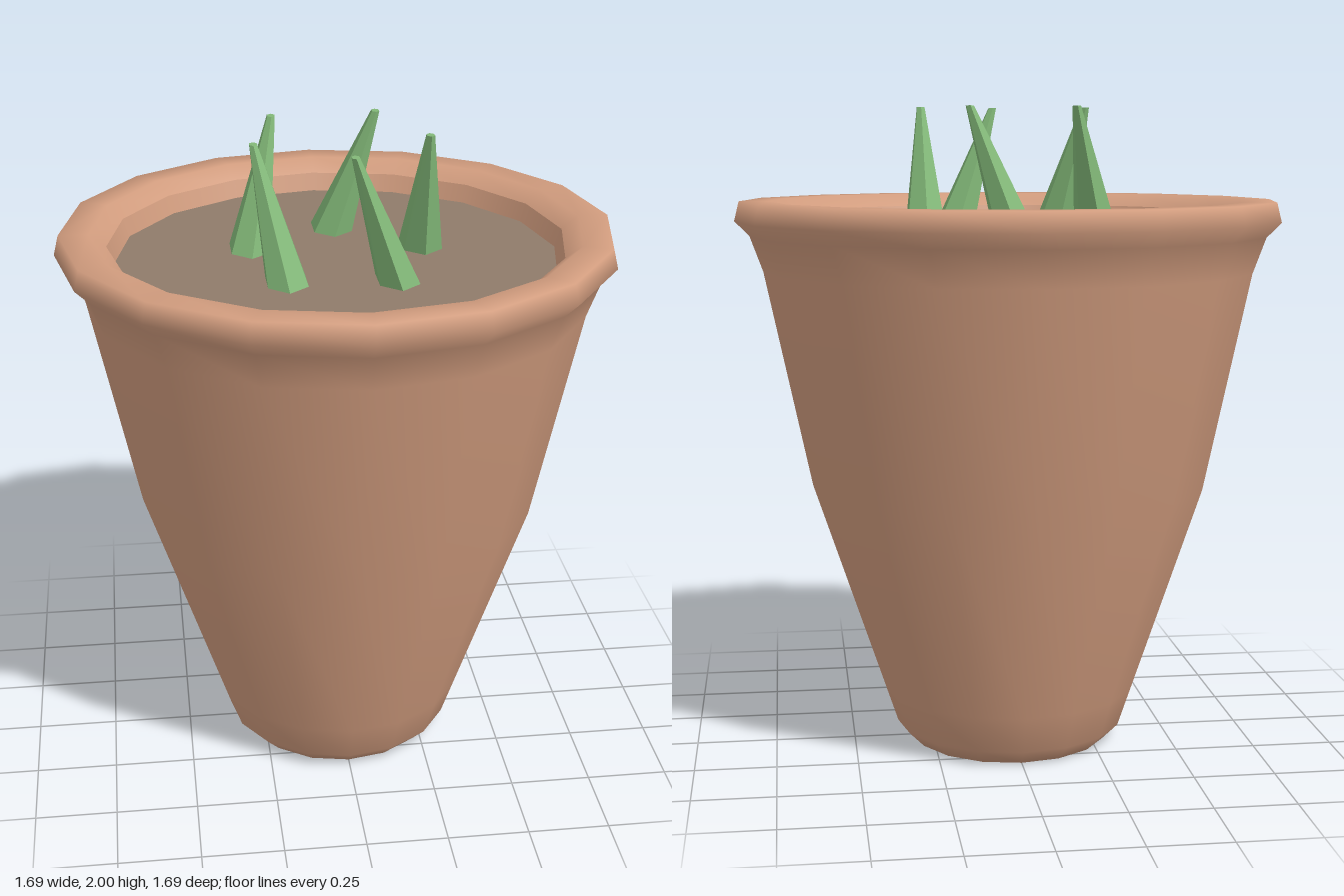
import * as THREE from 'three';

const SIDES = 16;
const SOIL_Y = 1.62;

function lathe(name, points, material) {
  const profile = points.map(([r, y]) => new THREE.Vector2(r, y));
  const mesh = new THREE.Mesh(new THREE.LatheGeometry(profile, SIDES), material);
  mesh.name = name;
  return mesh;
}

// Tapered six-sided stalk, leaning from a base centre to a level tip.
function stalkGeometry(base, tip) {
  const height = 2 - SOIL_Y;
  const geometry = new THREE.CylinderGeometry(1, 1, height, 6);
  const p = geometry.attributes.position;
  for (let i = 0; i < p.count; i++) {
    const top = p.getY(i) > 0;
    const centre = top ? tip : base;
    const rx = top ? 0.013 : 0.068;
    const rz = top ? 0.02 : 0.103;
    p.setXYZ(i, centre.x + p.getX(i) * rx, top ? 2 : SOIL_Y, centre.y + p.getZ(i) * rz);
  }
  geometry.computeVertexNormals();
  return geometry;
}

export function createModel() {
  const model = new THREE.Group();
  model.name = 'plantPot';
  const clay = new THREE.MeshStandardMaterial({ color: 0xd19c7e, side: THREE.DoubleSide });
  const earth = new THREE.MeshStandardMaterial({ color: 0x8f7b6a });
  const green = new THREE.MeshStandardMaterial({ color: 0x82b878, flatShading: true });

  // Pot wall with a flared, rounded rim
  model.add(lathe('pot', [
    [0, 0], [0.31, 0], [0.36, 0.05], [0.4, 0.17], [0.62, 0.83], [0.76, 1.5],
    [0.8, 1.61], [0.845, 1.655], [0.83, 1.715], [0.74, 1.715], [0.69, 1.675],
  ], clay));

  // Short inner wall between rim and soil
  model.add(lathe('innerWall', [[0.69, 1.675], [0.665, SOIL_Y - 0.02]], clay));

  // Soil surface
  const soil = new THREE.Mesh(new THREE.CircleGeometry(0.67, SIDES), earth);
  soil.name = 'soil';
  soil.rotation.x = -Math.PI / 2;
  soil.position.y = SOIL_Y;
  model.add(soil);

  // Ring of five stalks, each leaning round the ring
  const ringPoint = (degrees) => {
    const a = THREE.MathUtils.degToRad(degrees);
    return new THREE.Vector2(Math.cos(a), Math.sin(a)).multiplyScalar(0.275);
  };
  for (let i = 0; i < 5; i++) {
    const stalk = new THREE.Mesh(
      stalkGeometry(ringPoint(72 * i - 15), ringPoint(72 * i + 14)), green);
    stalk.name = `stalk${i + 1}`;
    model.add(stalk);
  }
  return model;
}
